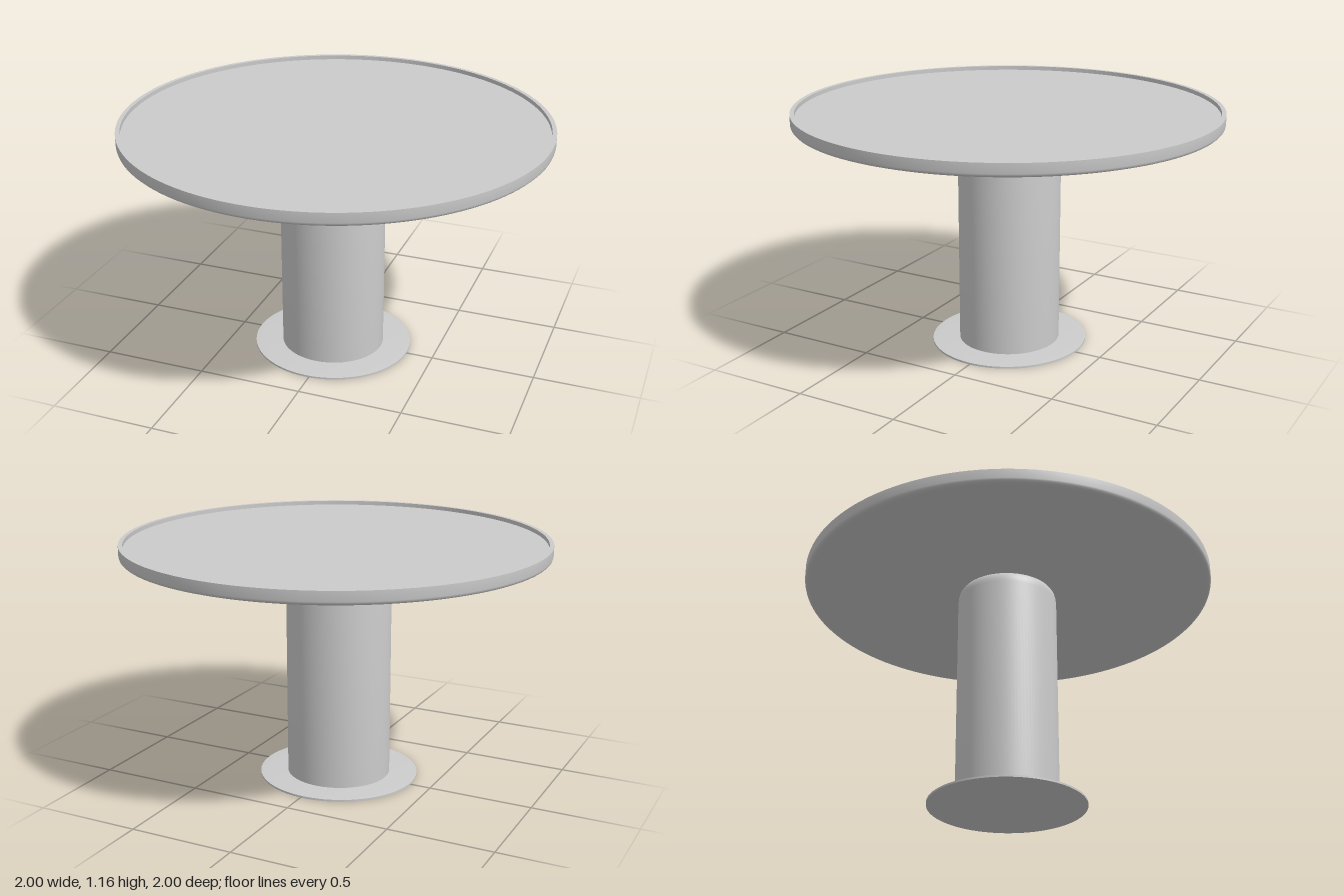
import * as THREE from 'three';
import { toCreasedNormals } from 'three/addons/utils/BufferGeometryUtils.js';

const material = new THREE.MeshStandardMaterial({ color: 0xcccccc });

// Revolve a bottom-to-top profile of [radius, height] pairs, keeping sharp edges.
function turned(name, profile, segments = 96) {
  const points = profile.map(([r, y]) => new THREE.Vector2(r, y));
  const geometry = toCreasedNormals(new THREE.LatheGeometry(points, segments), 0.6);
  const mesh = new THREE.Mesh(geometry, material);
  mesh.name = name;
  return mesh;
}

export function createModel() {
  const table = new THREE.Group();
  table.name = 'pedestalTable';

  // Round top with a softened lower edge and a thin raised rim
  table.add(turned('tableTop', [
    [0, 1.1], [0.94, 1.1], [0.98, 1.102], [0.992, 1.106], [0.998, 1.112], [1, 1.12],
    [1, 1.165], [0.98, 1.165], [0.98, 1.145], [0, 1.145],
  ], 128));

  // Pedestal sits slightly off centre and is a little narrower in depth
  const pedestal = new THREE.Group();
  pedestal.name = 'pedestal';
  pedestal.position.x = -0.015;
  pedestal.scale.z = 0.965;
  table.add(pedestal);

  // Column with a rounded shoulder under the top
  pedestal.add(turned('column', [
    [0.25, 0.008], [0.25, 1.05], [0.248, 1.07], [0.243, 1.087], [0.236, 1.098], [0.232, 1.102],
  ]));

  // Thin floor plate
  pedestal.add(turned('basePlate', [
    [0, 0], [0.385, 0], [0.385, 0.009], [0.35, 0.012], [0, 0.012],
  ]));

  return table;
}
